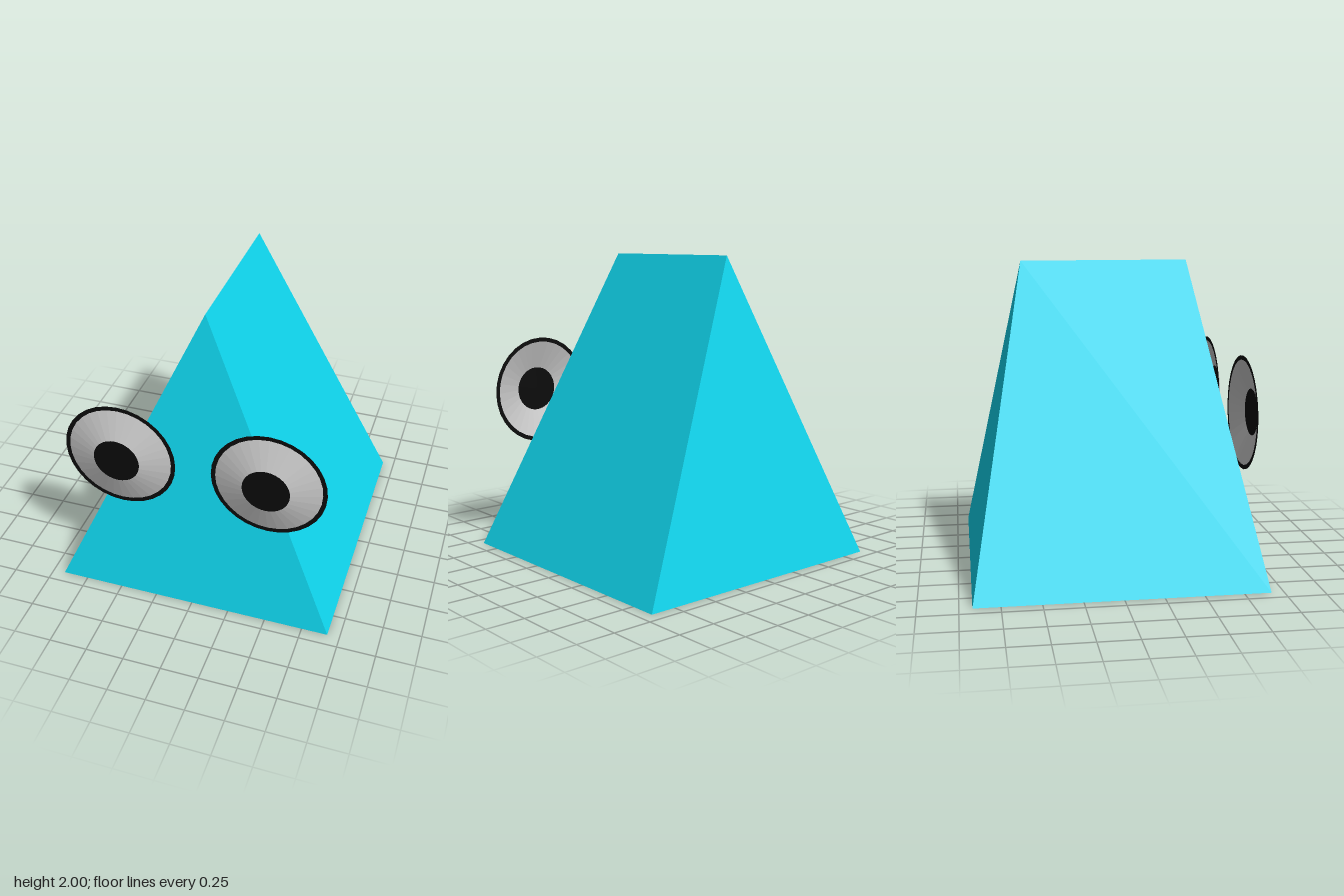
import * as THREE from 'three';
import { ConvexGeometry } from 'three/addons/geometries/ConvexGeometry.js';

const BASE = 0.92, RIDGE = 0.547, HEIGHT = 2;
const PUPIL_R = 0.15, EYE_R = 0.337, RIM_R = 0.365, BULGE = 0.06, SEGMENTS = 32;

const teal = new THREE.MeshStandardMaterial({ color: 0x10d8f0, flatShading: true });
const grey = new THREE.MeshStandardMaterial({ color: 0xcccccc, flatShading: true, side: THREE.DoubleSide });
const black = new THREE.MeshStandardMaterial({ color: 0x0a0a0a, side: THREE.DoubleSide });

function addPart(parent, name, geometry, material) {
  const mesh = new THREE.Mesh(geometry, material);
  mesh.name = name;
  parent.add(mesh);
  return mesh;
}

// Eye facing +z: open shallow cone, flat rim behind it, pupil disc at the front
function createEye(name) {
  const eye = new THREE.Group();
  eye.name = name;
  const cone = new THREE.CylinderGeometry(PUPIL_R, EYE_R, BULGE, SEGMENTS, 1, true);
  cone.rotateX(Math.PI / 2).translate(0, 0, BULGE / 2);
  addPart(eye, 'eyeWhite', cone, grey);
  addPart(eye, 'eyeRim', new THREE.RingGeometry(EYE_R, RIM_R, SEGMENTS), black);
  addPart(eye, 'pupil', new THREE.CircleGeometry(PUPIL_R, SEGMENTS), black).position.z = BULGE;
  return eye;
}

export function createModel() {
  const model = new THREE.Group();
  model.name = 'wedgeCreature';

  // Square base rising to a ridge that runs front to back
  const corners = [];
  for (const s of [-1, 1]) {
    corners.push(
      new THREE.Vector3(-BASE, 0, s * BASE),
      new THREE.Vector3(BASE, 0, s * BASE),
      new THREE.Vector3(0, HEIGHT, s * RIDGE)
    );
  }
  addPart(model, 'body', new ConvexGeometry(corners), teal);

  // Pair of eyes floating just ahead of the front face
  for (const s of [-1, 1]) {
    const eye = createEye(s > 0 ? 'leftEye' : 'rightEye');
    eye.position.set(s * 0.48, 1.055, 0.825);
    model.add(eye);
  }
  return model;
}
